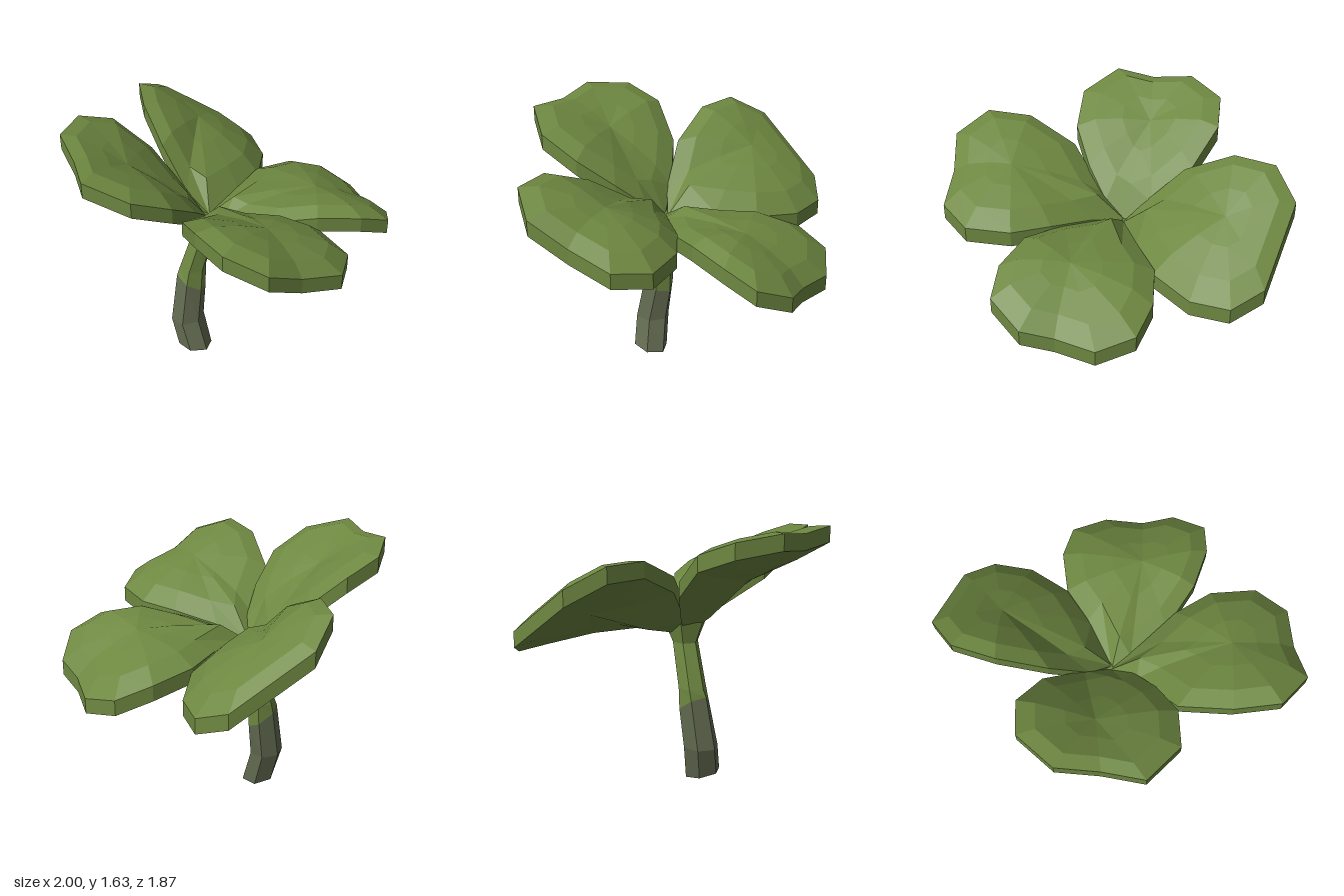
import * as THREE from 'three';

const green = new THREE.MeshStandardMaterial({ color: 0x6e8841, flatShading: true });
green.name = 'leaf green';
const grey = new THREE.MeshStandardMaterial({ color: 0x626a50, flatShading: true, side: THREE.DoubleSide });
grey.name = 'stem grey';

const V = (p) => new THREE.Vector3(...p);

// Skin a list of rings, ordered from the top of the part to its underside
function loft(name, rings, material) {
  const pos = [];
  const tri = (a, b, c) => {
    if (a.equals(b) || b.equals(c) || a.equals(c)) return;
    for (const p of [a, b, c]) pos.push(p.x, p.y, p.z);
  };
  for (let r = 0; r < rings.length - 1; r++) {
    const a = rings[r], b = rings[r + 1], n = a.length;
    for (let i = 0; i < n; i++) {
      const j = (i + 1) % n;
      tri(a[i], b[i], b[j]);
      tri(a[i], b[j], a[j]);
    }
  }
  const geo = new THREE.BufferGeometry();
  geo.setAttribute('position', new THREE.Float32BufferAttribute(pos, 3));
  geo.computeVertexNormals();
  const mesh = new THREE.Mesh(geo, material);
  mesh.name = name;
  return mesh;
}

// Thick, crowned leaf: rim counterclockwise from above, first point at the stem
function leaf(name, centre, outline) {
  const c = V(centre);
  const rim = outline.map(V);
  const under = rim.map((p) => p.clone().setY(p.y - 0.095));
  const cUnder = c.clone().setY(c.y - 0.16);
  const inset = (ring, to, t, lift, neckLift) => ring.map((p, i) => {
    const q = p.clone().lerp(to, t);
    q.y += i ? lift : neckLift;
    return q;
  });
  return loft(name, [
    rim.map(() => c),
    inset(rim, c, 0.62, 0.03, 0.055),
    inset(rim, c, 0.25, 0.038, 0.085),
    rim,
    under,
    inset(under, cUnder, 0.4, -0.01, -0.02),
    under.map(() => cUnder),
  ], green);
}

// Six-sided stem section: centre, radii, and slope along x and z
function section(x, y, z, rx, rz, sx = 0, sz = 0) {
  return Array.from({ length: 6 }, (_, i) => {
    const a = (i / 6) * Math.PI * 2;
    const dx = Math.cos(a) * rx, dz = -Math.sin(a) * rz;
    return new THREE.Vector3(x + dx, y + dx * sx + dz * sz, z + dz);
  });
}

export function createModel() {
  const model = new THREE.Group();
  model.name = 'fourLeafPlant';

  // Stem: open grey foot, green neck flaring under the leaves
  const joint = section(-0.158, 0.49, 0.152, 0.086, 0.095, -0.5, 0.5);
  const crown = new THREE.Vector3(-0.08, 1.01, 0.08);
  model.add(loft('stemNeck', [
    Array.from({ length: 6 }, () => crown),
    section(-0.08, 1.01, 0.08, 0.13, 0.14),
    section(-0.1, 0.87, 0.085, 0.072, 0.08),
    section(-0.155, 0.6, 0.14, 0.085, 0.087),
    joint,
  ], green));
  model.add(loft('stemFoot', [
    joint,
    section(-0.155, 0.22, 0.195, 0.098, 0.11),
    section(-0.09, 0.02, 0.195, 0.105, 0.11, 0, 0.2),
  ], grey));

  // Leaves
  model.add(leaf('backRightLeaf', [-0.6, 1.29, -0.36], [
    [-0.07, 1.0, 0.07], [-0.11, 1.03, -0.22], [-0.17, 1.0, -0.47], [-0.34, 0.965, -0.7],
    [-0.55, 0.97, -0.81], [-0.75, 1.05, -0.76], [-1.0, 1.36, -0.38], [-0.93, 1.48, -0.16],
    [-0.72, 1.475, -0.01], [-0.45, 1.34, 0.09], [-0.22, 1.12, 0.11],
  ]));
  model.add(leaf('backLeftLeaf', [0.3, 1.13, -0.47], [
    [-0.08, 1.0, 0.09], [0.05, 1.04, 0.06], [0.3, 1.08, -0.03], [0.54, 1.14, -0.21],
    [0.7, 1.11, -0.42], [0.76, 1.03, -0.61], [0.62, 0.93, -0.79], [0.43, 0.89, -0.83],
    [0.22, 0.865, -0.94], [-0.01, 0.92, -0.91], [-0.13, 0.99, -0.73], [-0.18, 1.03, -0.47],
    [-0.12, 1.04, -0.24],
  ]));
  model.add(leaf('frontLeftLeaf', [0.58, 1.35, 0.27], [
    [-0.09, 1.0, 0.09], [0.03, 1.12, 0.23], [0.17, 1.31, 0.52], [0.43, 1.45, 0.67],
    [0.69, 1.475, 0.73], [0.9, 1.39, 0.61], [0.93, 1.26, 0.38], [1.0, 1.18, 0.13],
    [0.88, 1.14, -0.07], [0.62, 1.13, -0.14], [0.38, 1.12, -0.09], [0.12, 1.07, 0.02],
  ]));
  model.add(leaf('frontRightLeaf', [-0.3, 1.46, 0.49], [
    [-0.08, 1.0, 0.09], [-0.25, 1.12, 0.09], [-0.5, 1.32, 0.13], [-0.68, 1.51, 0.27],
    [-0.735, 1.595, 0.48], [-0.6, 1.63, 0.72], [-0.37, 1.595, 0.81], [-0.16, 1.61, 0.93],
    [0.08, 1.53, 0.8], [0.15, 1.41, 0.57], [0.1, 1.25, 0.35], [0.02, 1.1, 0.18],
  ]));
  return model;
}
